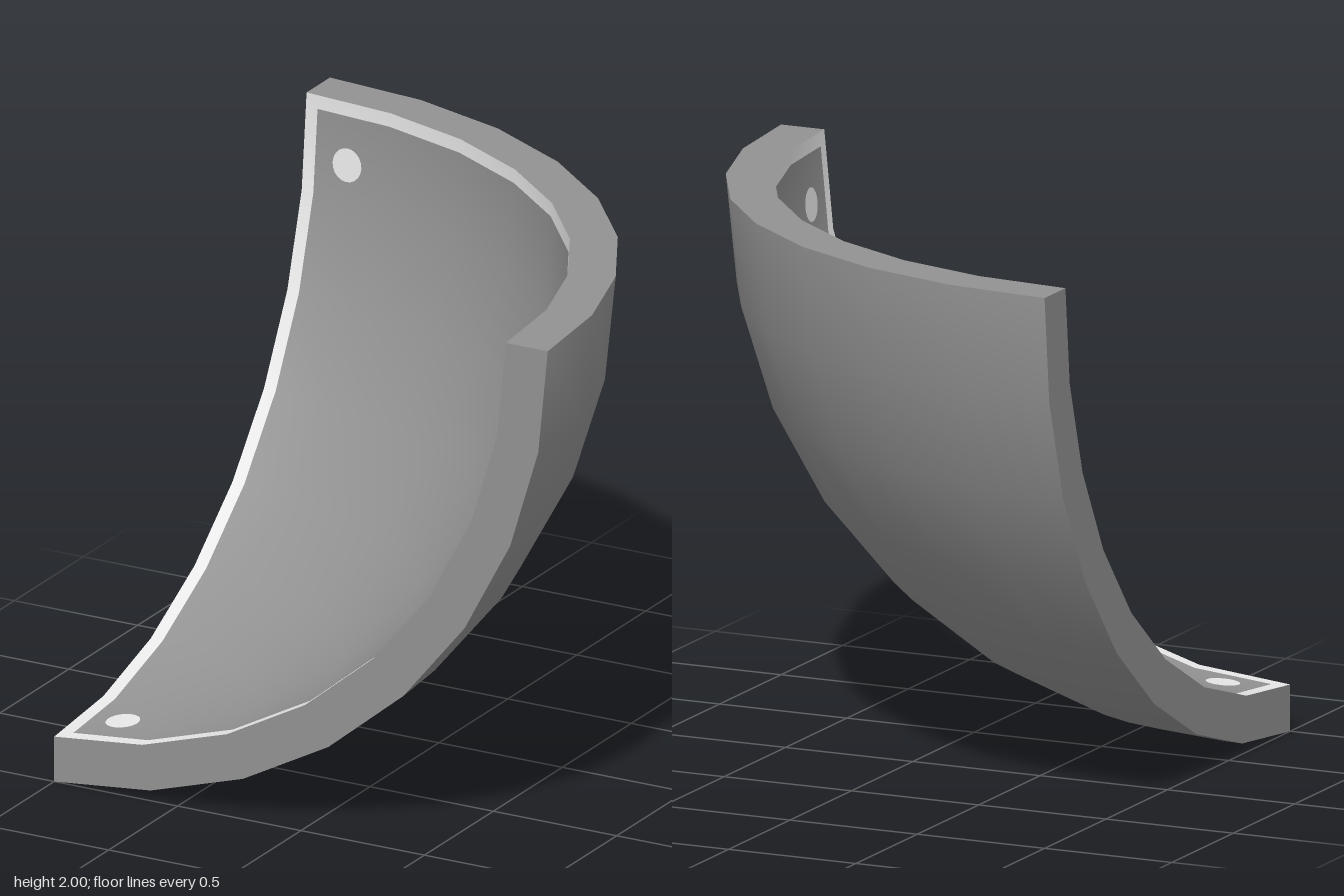
import * as THREE from 'three';

const OUTER = 2, INNER = 1.83, BORDER = 0.05, SEGS = 8;
const STEP = Math.PI / 2 / SEGS;

const grey = new THREE.MeshStandardMaterial({ color: 0x929292 });
grey.name = 'shellGrey';
const pale = new THREE.MeshStandardMaterial({ color: 0xf5f5f5 });
pale.name = 'paleTrim';

// Sine and cosine along the chords of the faceted quarter circle
function chord(a) {
  const i = Math.min(SEGS - 1, Math.floor(a / STEP + 1e-9));
  const t = a / STEP - i;
  const mix = f => f(i * STEP) * (1 - t) + f((i + 1) * STEP) * t;
  return [mix(Math.sin), mix(Math.cos)];
}

// Hollow face: grey panel with a pale border of constant width on three edges
function innerGeometry() {
  const inset = BORDER / INNER * STEP / Math.sin(STEP);
  const thetaMin = inset * Math.SQRT2;
  const steps = [];
  for (let i = 1; i < SEGS; i++) steps.push(i * STEP);
  const rows = [0, thetaMin, ...steps, Math.PI / 2 - inset, Math.PI / 2];
  const pos = [], nor = [], panel = [], trim = [];
  const cols = SEGS + 3;

  rows.forEach((theta, r) => {
    const [s, c] = chord(theta);
    const edge = r < 2 ? Math.PI / 4 : inset / s;
    const far = Math.PI / 2 - edge;
    const phis = [0, edge, ...steps.map(p => Math.min(far, Math.max(edge, p))), far, Math.PI / 2];
    for (const phi of phis) {
      const [sp, cp] = chord(phi);
      const p = new THREE.Vector3(s * sp, c, s * cp).multiplyScalar(INNER);
      pos.push(p.x, p.y, p.z);
      p.normalize().negate();
      nor.push(p.x, p.y, p.z);
    }
  });
  for (let r = 0; r < rows.length - 1; r++) {
    for (let k = 0; k < cols - 1; k++) {
      const a = r * cols + k, b = a + 1, c = a + cols, d = c + 1;
      const onBorder = r === 0 || r === rows.length - 2 || k === 0 || k === cols - 2;
      (onBorder ? trim : panel).push(a, b, c, b, d, c);
    }
  }
  const geo = new THREE.BufferGeometry();
  geo.setAttribute('position', new THREE.Float32BufferAttribute(pos, 3));
  geo.setAttribute('normal', new THREE.Float32BufferAttribute(nor, 3));
  geo.setIndex([...panel, ...trim]);
  geo.addGroup(0, panel.length, 0);
  geo.addGroup(panel.length, trim.length, 1);
  return geo;
}

export function createModel() {
  const model = new THREE.Group();
  model.name = 'sphereOctantShell';
  const shell = new THREE.Group();
  shell.name = 'shell';
  model.add(shell);

  const add = (name, geo, mat) => {
    const mesh = new THREE.Mesh(geo, mat);
    mesh.name = name;
    shell.add(mesh);
    return mesh;
  };

  // Curved faces
  add('outerSurface', new THREE.SphereGeometry(OUTER, SEGS, SEGS, Math.PI / 2, Math.PI / 2, 0, Math.PI / 2), grey);
  add('innerSurface', innerGeometry(), [grey, pale]);

  // Three flat rims, turned about the diagonal
  const diagonal = new THREE.Vector3(1, 1, 1).normalize();
  for (let i = 0; i < 3; i++) {
    const rim = new THREE.RingGeometry(INNER, OUTER, SEGS, 1, Math.PI / 2, Math.PI / 2);
    rim.rotateY(Math.PI);
    rim.applyMatrix4(new THREE.Matrix4().makeRotationAxis(diagonal, i * Math.PI * 2 / 3));
    add('rim' + (i + 1), rim, grey);
  }

  // Round spots in the three corners, lying on the inner facets
  const h = STEP / 2, s = Math.sin(h), c = Math.cos(h);
  const spots = [
    { axis: 'z', at: [0.19, 0.225, 0], n: [s * c, s, c * c], dist: INNER * c * c },
    { axis: 'y', at: [0.175, 0, 0.185], n: [s * Math.SQRT1_2, c, s * Math.SQRT1_2], dist: INNER * c },
    { axis: 'x', at: [0, 0.225, 0.205], n: [c * c, s, s * c], dist: INNER * c * c },
  ];
  spots.forEach(({ axis, at, n, dist }, i) => {
    const normal = new THREE.Vector3(...n).normalize();
    const p = new THREE.Vector3(...at);
    p[axis] = (dist - 0.006 - normal.dot(p)) / normal[axis];
    const spot = add('cornerSpot' + (i + 1), new THREE.CircleGeometry(0.062, 20), pale);
    spot.position.copy(p);
    spot.quaternion.setFromUnitVectors(new THREE.Vector3(0, 0, 1), normal.negate());
  });

  // Put the sphere's centre at the upper front right corner
  shell.rotation.x = Math.PI;
  shell.position.set(-1, 2, 1);
  return model;
}
